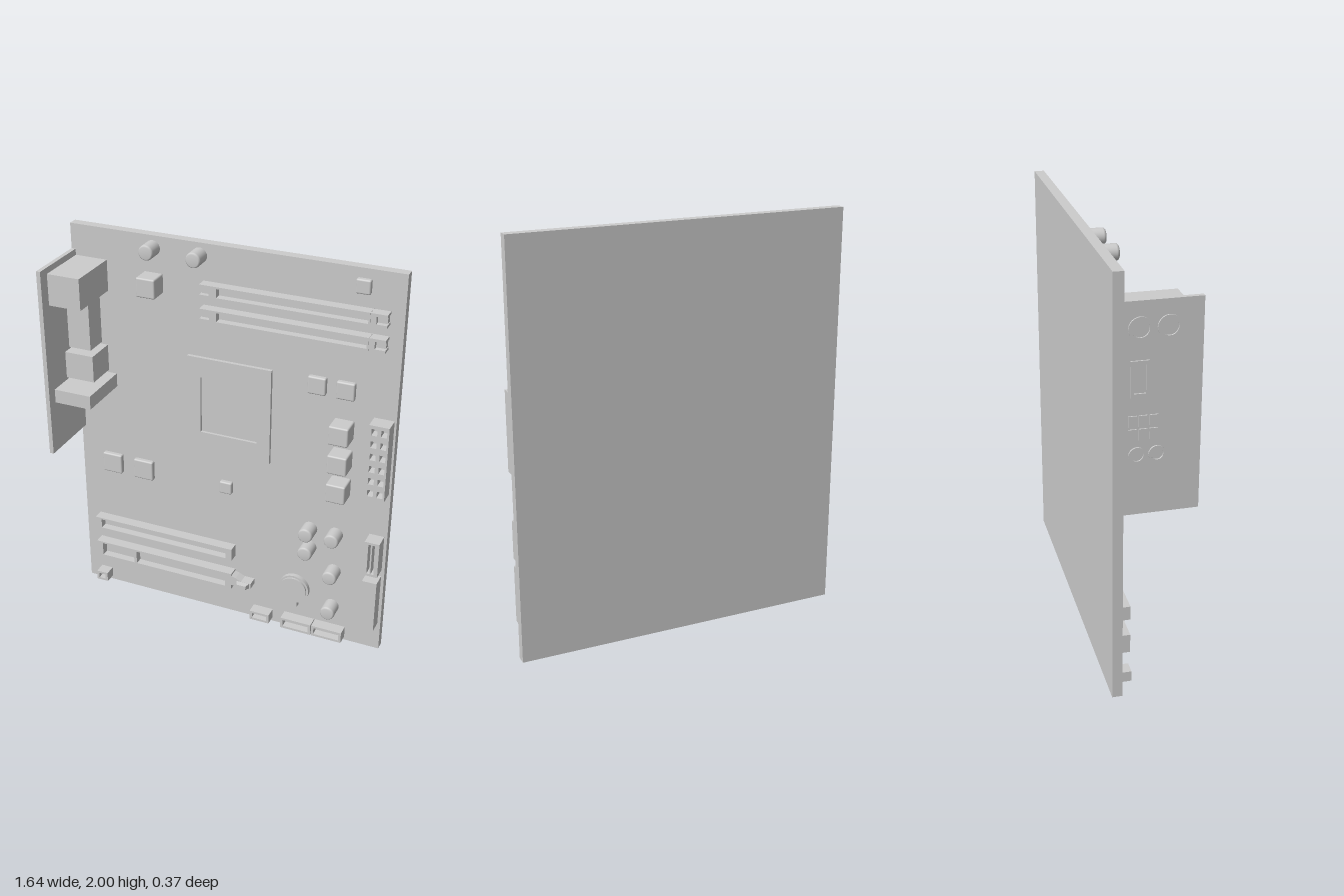
import * as THREE from 'three';
import { RoundedBoxGeometry } from 'three/addons/geometries/RoundedBoxGeometry.js';

const FACE = -0.14; // front surface of the circuit board

export function createModel() {
  const model = new THREE.Group();
  const grey = new THREE.MeshStandardMaterial({ color: 0xcccccc });

  const add = (name, geometry, x = 0, y = 0, z = 0) => {
    const mesh = new THREE.Mesh(geometry, grey);
    mesh.name = name;
    mesh.position.set(x, y, z);
    model.add(mesh);
    return mesh;
  };
  // Box given by its limits
  const box = (name, x0, x1, y0, y1, z0, z1) =>
    add(name, new THREE.BoxGeometry(x1 - x0, y1 - y0, z1 - z0), (x0 + x1) / 2, (y0 + y1) / 2, (z0 + z1) / 2);
  // Softened block standing on the board
  const block = (name, x, y, size, top) =>
    add(name, new RoundedBoxGeometry(size, size, top - FACE, 2, 0.008), x, y, (top + FACE) / 2);
  const outline = (points) => new THREE.Shape(points.map(([x, y]) => new THREE.Vector2(x, y)));
  const rect = (x0, x1, y0, y1) => outline([[x0, y0], [x1, y0], [x1, y1], [x0, y1]]);
  const extrude = (name, shape, z0, z1) =>
    add(name, new THREE.ExtrudeGeometry(shape, { depth: z1 - z0, bevelEnabled: false }), 0, 0, z0);
  // Housing with rectangular openings [x0, x1, y0, y1] and a raised floor
  const housing = (name, limits, openings, top, floor) => {
    const shape = rect(...limits);
    openings.forEach((o) => shape.holes.push(rect(...o)));
    extrude(name, shape, FACE, top);
    if (floor > FACE) openings.forEach((o) => box(name + 'Floor', ...o, FACE, floor));
  };

  // Circuit board and rear connector plate
  box('circuitBoard', -0.818, 0.818, 0, 2, -0.187, FACE);
  box('connectorPlate', -0.818, -0.797, 0.93, 1.875, FACE, 0.187);

  // Port bodies behind the plate
  [[-0.632, 1.69, 1.845, 0.13], [-0.68, 1.415, 1.68, -0.025],
    [-0.648, 1.27, 1.405, 0.016], [-0.606, 1.188, 1.257, 0.135]]
    .forEach(([x1, y0, y1, z1]) => box('portBody', -0.798, x1, y0, y1, FACE, z1));

  // Port openings on the outer side of the plate
  [[1.76, -0.075, 0.05], [1.76, 0.045, 0.05], [1.207, -0.085, 0.036], [1.207, 0.0, 0.036]].forEach(([y, z, r]) => {
    const ring = add('roundPort', new THREE.LatheGeometry([
      new THREE.Vector2(r, 0), new THREE.Vector2(r, 0.008),
      new THREE.Vector2(r * 0.75, 0.008), new THREE.Vector2(r * 0.75, 0.001),
      new THREE.Vector2(0, 0.001)], 24), -0.817, y, z);
    ring.rotation.z = Math.PI / 2;
    ring.geometry = ring.geometry.toNonIndexed();
    ring.geometry.computeVertexNormals();
  });
  const longPort = rect(-0.04, 0.04, -0.08, 0.08);
  longPort.holes.push(rect(-0.025, 0.025, -0.062, 0.062));
  add('longPort', new THREE.ExtrudeGeometry(longPort, { depth: 0.008, bevelEnabled: false }), -0.817, 1.545, -0.075)
    .rotation.y = -Math.PI / 2;
  for (let i = 0; i < 3; i++) {
    const z = -0.105 + i * 0.045;
    box('slotPort', -0.824, -0.817, 1.275, 1.325, z - 0.018, z + 0.018);
    box('slotPort', -0.824, -0.817, 1.335, 1.385, z - 0.018, z + 0.018);
  }

  // Processor socket frame
  housing('processorSocket', [-0.214, 0.214, 0.94, 1.437], [[-0.146, 0.146, 1.04, 1.336]], -0.122, -0.136);

  // Memory slots with a forked latch at each end
  for (const y of [1.79, 1.672]) {
    housing('memorySlot', [-0.058, 0.677, y - 0.031, y + 0.031], [[-0.05, 0.669, y - 0.022, y + 0.022]], -0.088, -0.125);
    for (const [mid, s] of [[-0.1, -1], [0.72, 1]]) {
      extrude('memoryLatch', outline([
        [-0.042, -0.031], [0.034, -0.031], [0.034, -0.018], [-0.015, -0.018],
        [-0.015, 0.018], [0.034, 0.018], [0.034, 0.031], [-0.042, 0.031],
      ].map(([px, py]) => [mid + s * px, y + py])), FACE, -0.088);
      box('memoryLatchBase', mid - 0.03, mid + 0.03, y - 0.02, y + 0.02, FACE, -0.112);
    }
  }

  // Expansion slots; the lower one has a key and a tapered latch
  housing('expansionSlot', [-0.74, 0.036, 0.35, 0.418], [[-0.706, 0.003, 0.359, 0.409]], -0.085, -0.125);
  housing('graphicsSlot', [-0.74, 0.036, 0.176, 0.268],
    [[-0.706, -0.521, 0.187, 0.259], [-0.506, 0.003, 0.187, 0.259]], -0.085, -0.125);
  extrude('graphicsSlotLatch', outline([[0.034, 0.2], [0.06, 0.205], [0.09, 0.207], [0.143, 0.207],
    [0.143, 0.237], [0.09, 0.237], [0.06, 0.25], [0.034, 0.258]]), FACE, -0.085);
  const hook = add('latchHook', new THREE.CylinderGeometry(0.035, 0.05, 0.026, 4, 1), 0.1, 0.222, -0.073);
  hook.geometry.rotateY(Math.PI / 4);
  hook.rotation.x = Math.PI / 2;
  hook.scale.z = 0.4;
  hook.geometry = hook.geometry.toNonIndexed();
  hook.geometry.computeVertexNormals();

  // Power connector with two columns of sockets
  const sockets = [];
  for (let row = 0; row < 6; row++)
    for (const x of [0.739, 0.785])
      sockets.push([x - 0.014, x + 0.014, 0.923 + row * 0.064, 0.957 + row * 0.064]);
  housing('powerConnector', [0.712, 0.808, 0.908, 1.294], sockets, -0.062, -0.11);

  // Drive connectors on the right-hand edge
  housing('driveHeader', [0.73, 0.803, 0.478, 0.668],
    [[0.749, 0.764, 0.49, 0.656], [0.769, 0.784, 0.49, 0.656]], -0.064, -0.11);
  box('driveConnector', 0.73, 0.803, 0.156, 0.44, FACE, -0.065);

  // Pin headers along the bottom edge
  [[-0.748, -0.685, 0.022, 0.073], [0.142, 0.247, 0.022, 0.073],
    [0.312, 0.474, 0.02, 0.08], [0.478, 0.637, 0.02, 0.08]].forEach(([x0, x1, y0, y1]) =>
    housing('pinHeader', [x0, x1, y0, y1], [[x0 + 0.013, x1 - 0.013, y0 + 0.012, y1 - 0.012]], -0.08, -0.12));

  // Capacitors with rounded tops
  const capProfile = [[0.037, 0], [0.037, 0.07], [0.035, 0.077], [0.029, 0.082], [0, 0.082]]
    .map(([r, h]) => new THREE.Vector2(r, h));
  [[-0.389, 1.94], [-0.153, 1.94], [0.43, 0.62], [0.562, 0.62], [0.43, 0.513], [0.562, 0.405], [0.562, 0.193]]
    .forEach(([x, y]) => {
      add('capacitor', new THREE.LatheGeometry(capProfile, 24), x, y, FACE).rotation.x = Math.PI / 2;
    });

  // Chokes and chips
  [[-0.386, 1.775], [0.575, 1.209], [0.575, 1.056], [0.575, 0.902]]
    .forEach(([x, y]) => block('choke', x, y, 0.096, -0.042));
  [[0.439, 1.41, 0.088], [0.577, 1.41, 0.088], [-0.638, 0.754, 0.106], [-0.463, 0.754, 0.106],
    [-0.01, 0.757, 0.065], [0.63, 1.923, 0.068]]
    .forEach(([x, y, size]) => block('chip', x, y, size, -0.11));

  // Coin battery, its holder and clip
  add('batteryHolder', new THREE.CylinderGeometry(0.08, 0.08, 0.022, 40), 0.362, 0.248, -0.129).rotation.x = Math.PI / 2;
  add('battery', new THREE.CylinderGeometry(0.07, 0.07, 0.03, 40), 0.362, 0.248, -0.123).rotation.x = Math.PI / 2;
  box('batteryClip', 0.34, 0.386, 0.148, 0.18, FACE, -0.112);

  return model;
}
